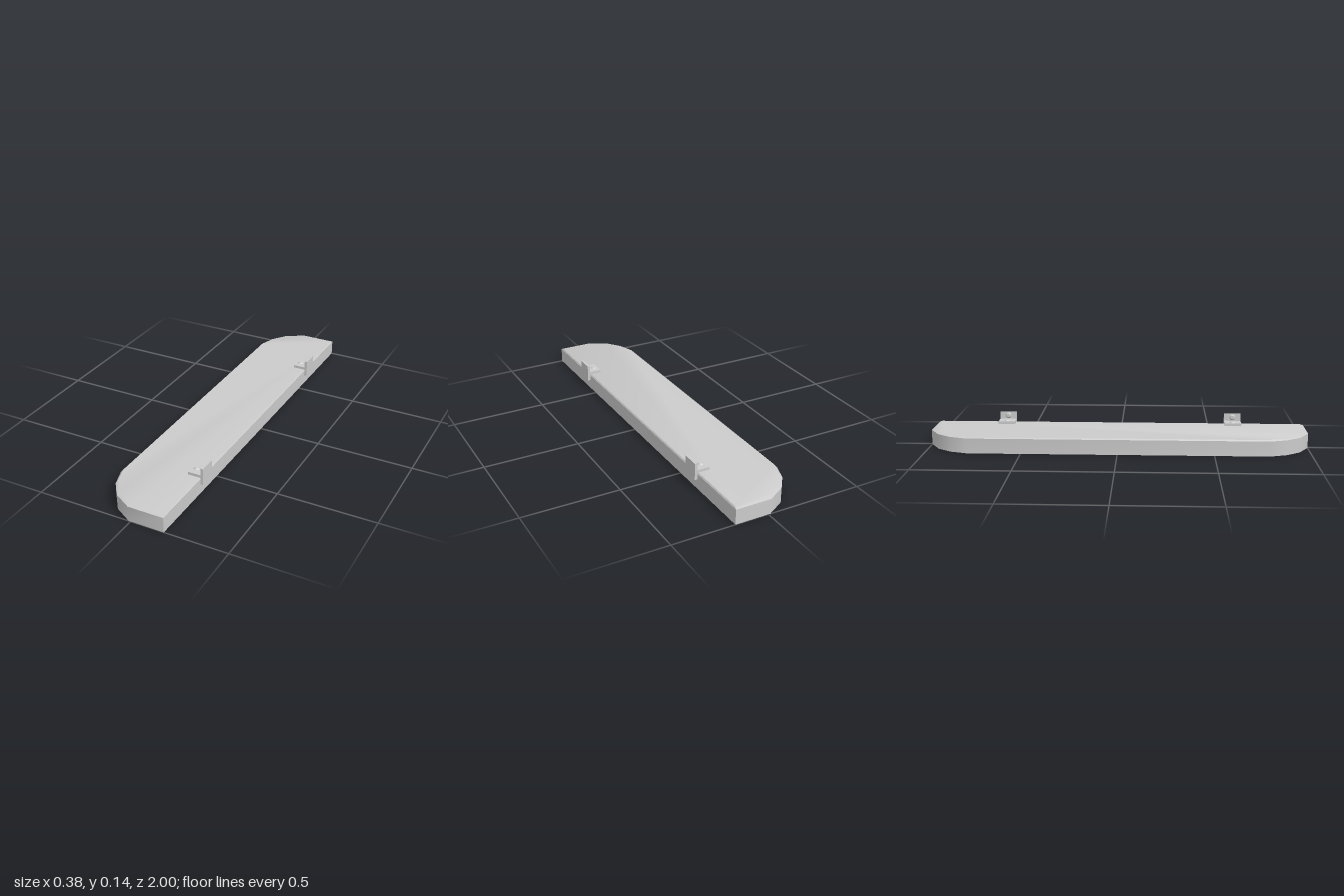
import * as THREE from 'three';
import { toCreasedNormals } from 'three/addons/utils/BufferGeometryUtils.js';

const grey = new THREE.MeshStandardMaterial({ color: 0xcccccc });

function addMesh(parent, name, geometry, x = 0, y = 0, z = 0) {
  const mesh = new THREE.Mesh(geometry, grey);
  mesh.name = name;
  mesh.position.set(x, y, z);
  parent.add(mesh);
  return mesh;
}

// Board: one outline stacked at three heights, the top ring drawn in as a bevel
function boardGeometry() {
  const corner = [[0.175, 1], [-0.01, 1], [-0.104, 0.945], [-0.16, 0.87], [-0.19, 0.78]];
  const outline = [
    ...corner.map(([x, z]) => [x, -z]),
    ...corner.slice().reverse(),
  ];
  const midX = -0.0075;
  const rings = [[0, 1, 1], [0.079, 1, 1], [0.086, 0.973, 0.983]].map(([y, sx, sz]) =>
    outline.map(([x, z]) => [midX + (x - midX) * sx, y, z * sz]));
  const n = outline.length;
  const pos = [];
  const tri = (a, b, c) => pos.push(...a, ...b, ...c);

  for (let r = 0; r < rings.length - 1; r++) {
    const lo = rings[r], hi = rings[r + 1];
    for (let i = 0; i < n; i++) {
      const j = (i + 1) % n;
      tri(lo[i], lo[j], hi[j]);
      tri(lo[i], hi[j], hi[i]);
    }
  }
  const bottom = rings[0], top = rings[2];
  for (let i = 1; i < n - 1; i++) {
    tri(top[0], top[i], top[i + 1]);
    tri(bottom[0], bottom[i + 1], bottom[i]);
  }
  const geometry = new THREE.BufferGeometry();
  geometry.setAttribute('position', new THREE.Float32BufferAttribute(pos, 3));
  return toCreasedNormals(geometry, 0.6);
}

// L-shaped bracket with a tapered screw head on each leg
function createBracket(name, z) {
  const bracket = new THREE.Group();
  bracket.name = name;
  bracket.position.z = z;
  addMesh(bracket, 'shelfPlate', new THREE.BoxGeometry(0.066, 0.014, 0.09), 0.142, 0.093, 0);
  addMesh(bracket, 'wallPlate', new THREE.BoxGeometry(0.014, 0.088, 0.09), 0.182, 0.094, 0);
  const head = new THREE.CylinderGeometry(0.01, 0.016, 0.006, 16);
  addMesh(bracket, 'shelfScrew', head, 0.132, 0.103, 0);
  addMesh(bracket, 'wallScrew', head, 0.172, 0.12, 0).rotation.z = Math.PI / 2;
  return bracket;
}

export function createModel() {
  const model = new THREE.Group();
  model.name = 'wallShelf';
  addMesh(model, 'board', boardGeometry());
  model.add(createBracket('frontBracket', 0.615), createBracket('rearBracket', -0.615));
  return model;
}
